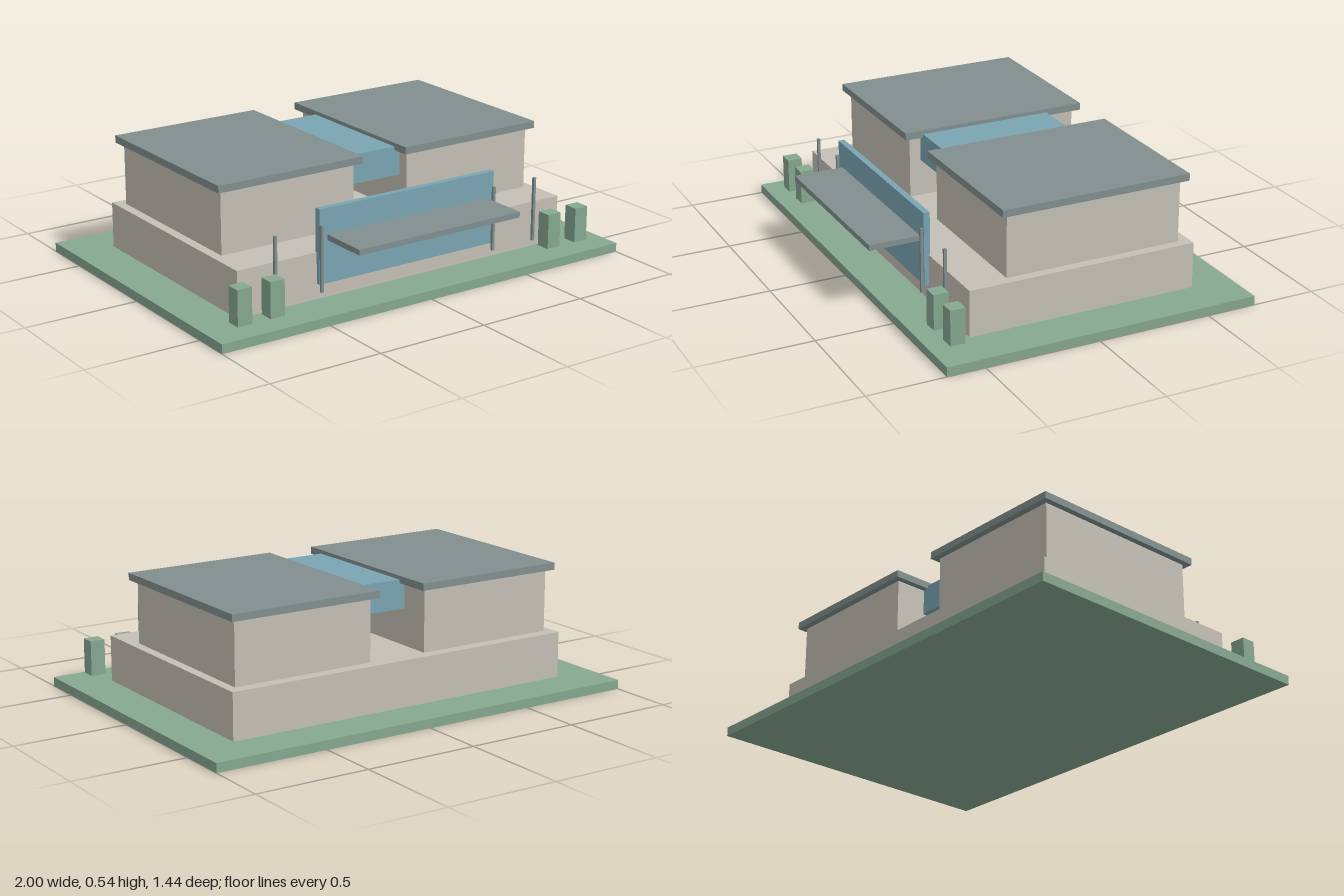
import * as THREE from 'three';

export function createModel() {
  const model = new THREE.Group();
  model.name = 'building';

  const mat = (color) => new THREE.MeshStandardMaterial({ color });
  const green = mat(0x86a890);
  const wall = mat(0xc4c0b6);
  const glass = mat(0x7aa5b2);
  const slate = mat(0x828f8f);

  // Box given by its extents along x, y and z
  function block(name, material, [x0, x1], [y0, y1], [z0, z1]) {
    const mesh = new THREE.Mesh(new THREE.BoxGeometry(x1 - x0, y1 - y0, z1 - z0), material);
    mesh.position.set((x0 + x1) / 2, (y0 + y1) / 2, (z0 + z1) / 2);
    mesh.name = name;
    model.add(mesh);
  }

  // The same box on both sides of x = 0
  function pair(name, material, [x0, x1], y, z) {
    block(name + 'Left', material, [x0, x1], y, z);
    block(name + 'Right', material, [-x1, -x0], y, z);
  }

  // Lawn and ground floor
  block('lawn', green, [-1, 1], [0, 0.04], [-0.72, 0.665]);
  block('groundFloor', wall, [-0.815, 0.815], [0.04, 0.24], [-0.535, 0.479]);

  // Two upper wings with overhanging flat roofs, joined by a raised glass bridge
  pair('upperWing', wall, [0.135, 0.774], [0.24, 0.512], [-0.484, 0.298]);
  pair('roof', slate, [0.108, 0.8], [0.512, 0.543], [-0.512, 0.327]);
  block('glassBridge', glass, [-0.135, 0.135], [0.4, 0.527], [-0.343, 0.247]);

  // Front glazing and entrance canopy
  block('frontGlazing', glass, [-0.441, 0.441], [0.107, 0.425], [0.472, 0.499]);
  block('canopy', slate, [-0.403, 0.403], [0.29, 0.314], [0.499, 0.72]);

  // Slim posts along the front
  for (const x of [0.436, 0.656]) {
    pair('post', slate, [x - 0.006, x + 0.006], [0.077, 0.36], [0.502, 0.514]);
  }

  // Clipped shrubs at the corners
  for (const x of [0.702, 0.852]) {
    pair('shrub', green, [x - 0.033, x + 0.033], [0.059, 0.212], [0.53, 0.595]);
  }

  return model;
}
